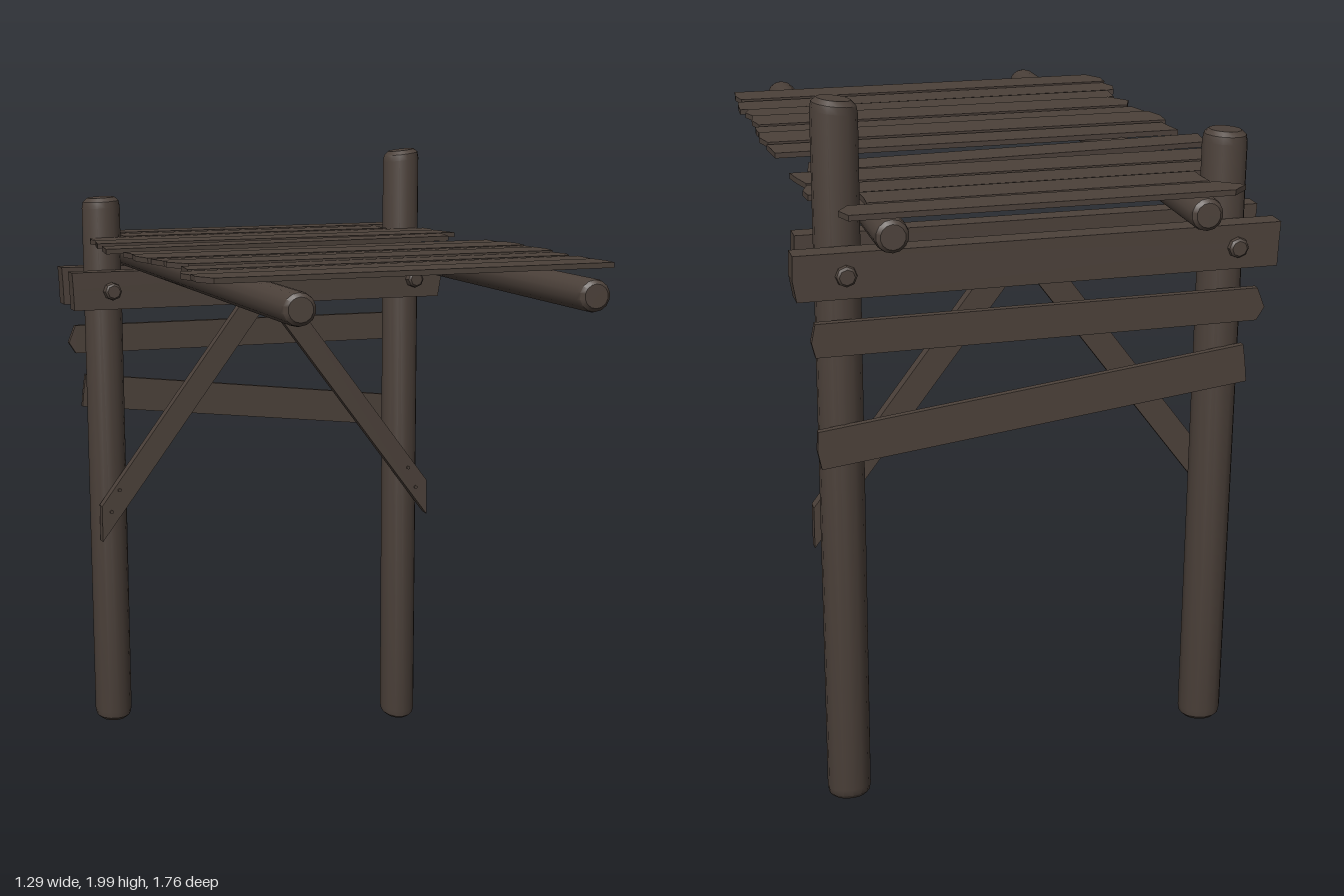
import * as THREE from 'three';
import { toCreasedNormals } from 'three/addons/utils/BufferGeometryUtils.js';

export function createModel() {
  const group = new THREE.Group();
  const wood = new THREE.MeshStandardMaterial({ color: 0x4c413a });
  wood.name = 'weathered wood';

  function add(name, geometry, x = 0, y = 0, z = 0) {
    const mesh = new THREE.Mesh(geometry, wood);
    mesh.name = name;
    mesh.position.set(x, y, z);
    group.add(mesh);
    return mesh;
  }

  // Round timber along y with worn, chamfered and slightly slanted ends
  function logGeometry(radius, length, slantBottom = 0, slantTop = 0, sides = 14) {
    const c = radius * 0.4;
    const profile = [
      [0, 0], [radius * 0.72, 0], [radius * 0.94, c * 0.5], [radius, c * 1.3],
      [radius, length - c * 1.3], [radius * 0.94, length - c * 0.5], [radius * 0.72, length], [0, length],
    ].map(([r, y]) => new THREE.Vector2(r, y));
    const geometry = new THREE.LatheGeometry(profile, sides);
    const p = geometry.attributes.position;
    for (let i = 0; i < p.count; i++) {
      const y = p.getY(i);
      if (y < length / 2) p.setY(i, y + slantBottom * (radius - p.getZ(i)));
      else p.setY(i, y - slantTop * (radius - p.getX(i)));
    }
    return toCreasedNormals(geometry, 0.6);
  }

  // Flat board cut from an outline in the xy plane
  function board(points, thickness) {
    const shape = new THREE.Shape(points.map(([x, y]) => new THREE.Vector2(x, y)));
    return new THREE.ExtrudeGeometry(shape, { depth: thickness, bevelEnabled: false });
  }

  // Upright posts
  add('rightPost', logGeometry(0.06, 1.735, 0.08, 0.05), -0.522, 0.127, -0.708);
  add('leftPost', logGeometry(0.06, 1.995, 0.25, 0.12), 0.51, 0.005, -0.708);

  // Roof logs reaching forward
  for (const x of [-0.42, 0.4]) {
    const log = add('roofLog', logGeometry(0.045, 1.76, 0.05, 0.1), x, 1.677, -0.88);
    log.rotation.x = Math.PI / 2;
  }

  // Paired cross beams clamping the posts
  const beams = [
    ['frontBeam', -0.648, 0.61, -0.648, 0.055],
    ['backBeam', -0.64, 0.645, -0.83, 0.06],
  ];
  for (const [name, x0, x1, z, t] of beams) {
    add(name, board([
      [x0 + 0.005, 1.515], [x1 - 0.01, 1.512], [x1, 1.57], [x1 - 0.002, 1.632],
      [x0, 1.634], [x0 + 0.003, 1.58],
    ], t), 0, 0, z);
  }

  // Bolts through beams and posts
  for (const x of [-0.522, 0.51]) {
    const bolt = add('bolt', logGeometry(0.028, 0.285, 0, 0, 8), x, 1.573, -0.847);
    bolt.rotation.x = Math.PI / 2;
  }

  // Diagonal braces with nails
  for (const s of [-1, 1]) {
    const outline = [[0.572, 0.757], [0.572, 0.875], [0.075, 1.535], [-0.015, 1.535]].map(([x, y]) => [x * s, y]);
    add('brace', board(outline, 0.033), 0.006, 0, s < 0 ? -0.648 : -0.65);
    for (const [x, y] of [[0.507, 0.925], [0.535, 0.855]]) {
      const nail = new THREE.CylinderGeometry(0.006, 0.006, 0.008, 6).rotateX(Math.PI / 2);
      add('nail', nail, x * s, y, -0.614);
    }
  }

  // Boards across the back of the posts
  add('upperBackBoard', board([
    [-0.6, 1.355], [0.585, 1.35], [0.595, 1.39], [0.585, 1.44], [-0.6, 1.445], [-0.622, 1.39],
  ], 0.02), 0, 0, -0.793);
  add('lowerBackBoard', board([
    [-0.585, 1.18], [0.575, 1.04], [0.585, 1.09], [0.583, 1.145], [-0.572, 1.285], [-0.58, 1.23],
  ], 0.018), 0, 0, -0.783);

  // Roof planks: back z, front z, left end x (back, middle, front), right end x, skew, lift
  const planks = [
    [0.525, 0.642, -0.597, -0.602, -0.57, 0.575, 0.586, 0.58, 0, 0.004],
    [0.405, 0.517, -0.59, -0.606, -0.59, 0.596, 0.594, 0.588, -0.008, 0],
    [0.297, 0.394, -0.555, -0.56, -0.566, 0.57, 0.588, 0.572, -0.004, 0.002],
    [0.157, 0.283, -0.55, -0.575, -0.53, 0.575, 0.587, 0.575, 0, 0.006],
    [0.078, 0.15, -0.578, -0.57, -0.56, 0.588, 0.59, 0.587, 0, 0.002],
    [-0.06, 0.07, -0.595, -0.602, -0.585, 0.582, 0.597, 0.588, 0, 0.004],
    [-0.175, -0.07, -0.592, -0.585, -0.58, 0.58, 0.583, 0.588, 0, 0],
    [-0.383, -0.281, -0.611, -0.618, -0.625, 0.531, 0.52, 0.51, -0.058, 0.003],
    [-0.54, -0.42, -0.584, -0.597, -0.607, 0.556, 0.57, 0.58, 0, 0.004],
    [-0.65, -0.55, -0.574, -0.584, -0.574, 0.57, 0.575, 0.556, 0, 0.002],
    [-0.766, -0.66, -0.461, -0.458, -0.46, 0.443, 0.44, 0.443, 0, 0.004],
    [-0.877, -0.785, -0.49, -0.536, -0.475, 0.51, 0.527, 0.495, 0, 0.006],
  ];
  for (const [z0, z1, a, b, c, d, e, f, skew, lift] of planks) {
    const zm = (z0 + z1) / 2;
    const outline = [[c, z1], [f, z1], [e, zm], [d, z0], [a, z0], [b, zm]]
      .map(([x, z]) => [x, -(z + skew * x)]);
    add('roofPlank', board(outline, 0.015).rotateX(-Math.PI / 2), 0, 1.719 + lift, 0);
  }

  return group;
}
